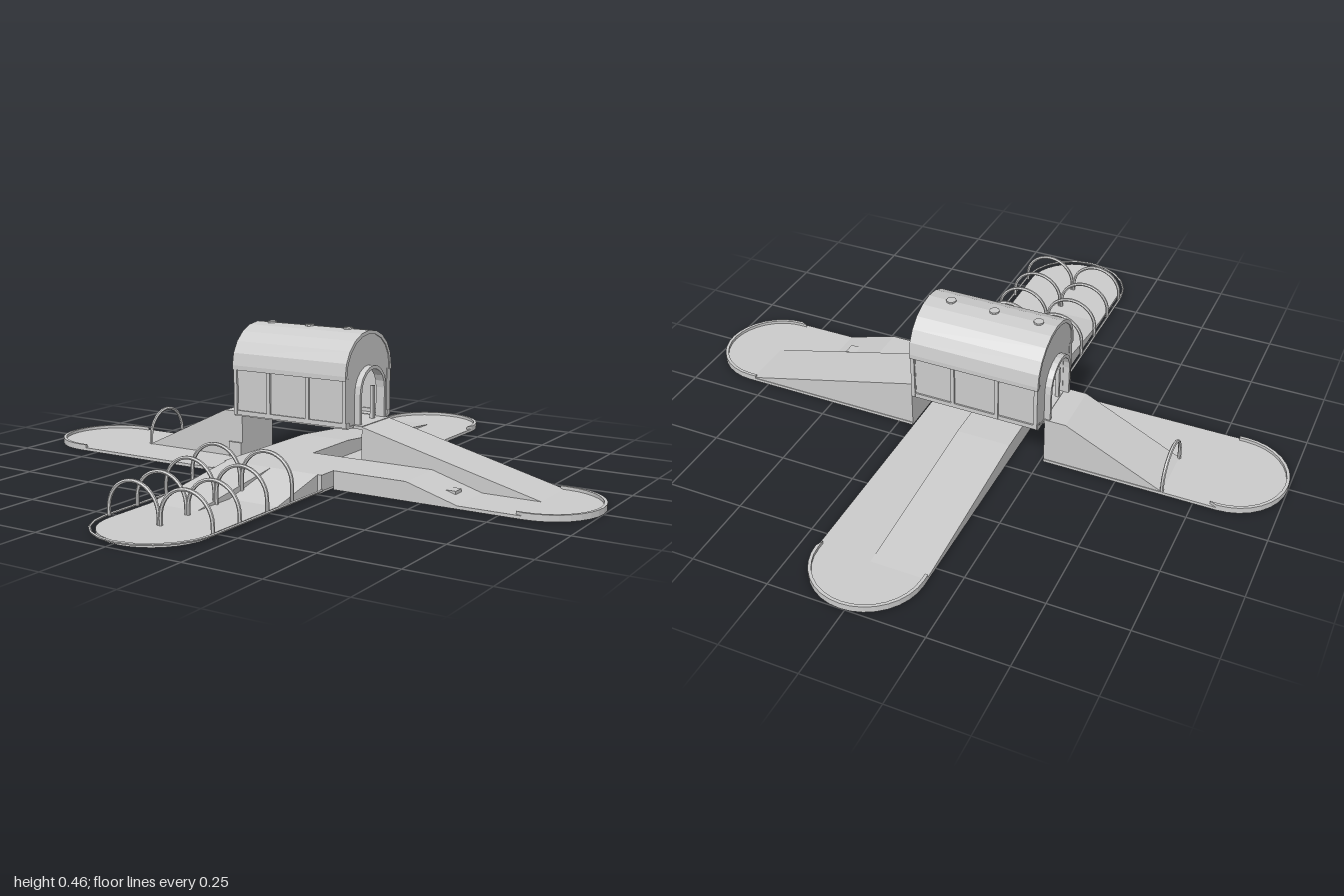
import * as THREE from 'three';

const mat = new THREE.MeshStandardMaterial({ color: 0xcccccc, flatShading: true, side: THREE.DoubleSide });

export function createModel() {
  const root = new THREE.Group();
  const add = (geo, name, x = 0, y = 0, z = 0) => {
    const m = new THREE.Mesh(geo, mat);
    m.name = name;
    m.position.set(x, y, z);
    root.add(m);
    return m;
  };
  const box = (name, x0, x1, y0, y1, z0, z1) =>
    add(new THREE.BoxGeometry(x1 - x0, y1 - y0, z1 - z0), name, (x0 + x1) / 2, (y0 + y1) / 2, (z0 + z1) / 2);
  const extrude = (shape, depth) =>
    new THREE.ExtrudeGeometry(shape, { depth, bevelEnabled: false, curveSegments: 8 });
  const poly = pts => new THREE.Shape(pts.map(p => new THREE.Vector2(...p)));
  // Side profile running along x, spanning z0..z1
  const alongX = (name, pts, z0, z1) => add(extrude(poly(pts), z1 - z0), name, 0, 0, z0);
  // Side profile given as (z, y), spanning x0..x1
  const alongZ = (name, pts, x0, x1) =>
    add(extrude(poly(pts.map(([z, y]) => [-z, y])), x1 - x0).rotateY(Math.PI / 2), name, x0, 0, 0);

  // Round-ended lane arm: (u outward, v across), turned into place about y
  const arm = (name, angle, inner, outer, vc, r) => {
    const s = new THREE.Shape();
    s.moveTo(inner, vc - r);
    s.lineTo(outer - r, vc - r);
    s.absarc(outer - r, vc, r, -Math.PI / 2, Math.PI / 2, false);
    s.lineTo(inner, vc + r);
    const plate = extrude(s, 0.01).rotateX(-Math.PI / 2);
    add(plate, name + 'Plate').rotation.y = angle;
    return [outer - r, vc, r, angle];
  };
  // Low rim around a round lane end
  const rim = (name, [cu, vc, r, angle], start) => {
    const s = new THREE.Shape(), ri = r - 0.01;
    s.moveTo(start, vc - r);
    s.absarc(cu, vc, r, -Math.PI / 2, Math.PI / 2, false);
    s.lineTo(start, vc + r);
    s.lineTo(start, vc + ri);
    s.absarc(cu, vc, ri, Math.PI / 2, -Math.PI / 2, true);
    s.lineTo(start, vc - ri);
    add(extrude(s, 0.02).rotateX(-Math.PI / 2), name + 'Rim').rotation.y = angle;
  };
  // Lane arms: v is -z for the x arms, x for the front arm, -x for... the turned back arm
  rim('leftArm', arm('leftArm', 0, 0.2, 1, 0.005, 0.177), 0.8);
  rim('rightArm', arm('rightArm', Math.PI, 0.26, 1, -0.005, 0.177), 0.8);
  rim('backArm', arm('backArm', Math.PI / 2, -0.24, 1, -0.016, 0.176), 0.8);
  arm('frontArm', -Math.PI / 2, 0.24, 0.97, 0.016, 0.17);
  box('lowerLaneLink', -0.26, -0.16, 0, 0.01, 0, 0.165);

  // Thin rail set off around the front arm
  const rail = [[-0.17, 0.24]];
  for (let i = 0; i <= 10; i++) {
    const a = Math.PI * (1 - i / 10);
    rail.push([0.016 + 0.186 * Math.cos(a), 0.8 + 0.186 * Math.sin(a)]);
  }
  rail.push([0.202, 0.24]);
  const railPath = new THREE.CurvePath();
  for (let i = 1; i < rail.length; i++)
    railPath.add(new THREE.LineCurve3(
      new THREE.Vector3(rail[i - 1][0], 0.013, rail[i - 1][1]),
      new THREE.Vector3(rail[i][0], 0.013, rail[i][1])));
  add(new THREE.TubeGeometry(railPath, 90, 0.004, 5), 'frontRail');

  // High bridge ramps either side of the hut
  alongX('steepRamp', [[-0.65, 0.01], [-0.26, 0.01], [-0.26, 0.165], [-0.33, 0.165]], -0.18, 0);
  alongX('longRamp', [[0.2, 0.01], [0.81, 0.01], [0.2, 0.165]], -0.18, 0);
  box('bridgeDeck', -0.26, 0.2, 0.157, 0.167, -0.18, 0);
  box('bridgeFoot', -0.31, -0.26, 0, 0.06, 0, 0.008);

  // Low crossing deck and its ramps
  box('crossingDeck', -0.16, 0.2, 0.01, 0.06, 0, 0.24);
  alongX('sideRamp', [[0.2, 0.01], [0.62, 0.01], [0.45, 0.06], [0.2, 0.06]], 0, 0.172);
  box('rampSlotEdge', 0.45, 0.58, 0.02, 0.032, 0.06, 0.1);
  alongZ('backRamp', [[-0.81, 0.01], [0, 0.01], [0, 0.06], [-0.22, 0.06]], -0.16, 0.02);
  alongZ('frontRampLong', [[0.24, 0.01], [0.62, 0.01], [0.24, 0.06]], -0.154, 0.016);
  alongZ('frontRampShort', [[0.24, 0.01], [0.46, 0.01], [0.24, 0.06]], 0.016, 0.186);

  // Hoops
  const hoop = (x, z, top, r, turn) => {
    const pts = [new THREE.Vector3(-r, 0.01, 0)];
    for (let i = 0; i <= 12; i++) {
      const a = Math.PI * (1 - i / 12);
      pts.push(new THREE.Vector3(r * Math.cos(a), top - 0.006 - r + r * Math.sin(a), 0));
    }
    pts.push(new THREE.Vector3(r, 0.01, 0));
    const tube = new THREE.TubeGeometry(new THREE.CatmullRomCurve3(pts), 28, 0.006, 6);
    add(tube, 'hoop', x, 0, z).rotation.y = turn;
  };
  for (const [z, top] of [[0.4, 0.16], [0.53, 0.143], [0.665, 0.13], [0.79, 0.13]])
    for (const x of [-0.077, 0.108]) hoop(x, z, top, 0.089, 0);
  hoop(-0.65, -0.09, 0.127, 0.088, Math.PI / 2);

  // Hut: arched end panels with doorways, profile centred on zc
  const zc = -0.095, x0 = -0.26, x1 = 0.17;
  const arch = (w, base, spring, h, n = 10) => {
    const pts = [[w, base]];
    for (let i = 0; i <= n; i++) {
      const a = Math.PI * i / n;
      pts.push([w * Math.cos(a), spring + h * Math.sin(a)]);
    }
    pts.push([-w, base]);
    return pts;
  };
  const archBand = (outer, inner) => poly([...outer, ...inner.reverse()]);
  const place = (shape, depth, name, x) =>
    add(extrude(shape, depth).rotateY(Math.PI / 2), name, x, 0, zc);
  for (const [x, trimX] of [[x0 + 0.003, x0 - 0.018], [x1 - 0.015, x1 - 0.003]]) {
    place(archBand(arch(0.138, 0.168, 0.33, 0.122), arch(0.073, 0.168, 0.265, 0.073)), 0.012, 'hutEndPanel', x);
    place(archBand(arch(0.084, 0.168, 0.265, 0.083), arch(0.072, 0.168, 0.265, 0.072)), 0.02, 'doorTrim', trimX);
    for (const dz of [-0.04, 0.045])
      box('doorPost', x, x + 0.012, 0.167, 0.275, zc + dz - 0.006, zc + dz + 0.006);
  }

  // Hut roof shell, side walls and wall posts
  place(archBand(arch(0.148, 0.315, 0.33, 0.13), arch(0.136, 0.315, 0.33, 0.118)), x1 - x0, 'hutRoof', x0);
  for (const s of [-1, 1]) {
    const zw = zc + s * 0.132;
    box('hutSideWall', x0 + 0.003, x1 - 0.003, 0.165, 0.33, zw - 0.005, zw + 0.005);
    box('hutSill', x0, x1, 0.165, 0.18, zw - 0.01, zw + 0.01);
    for (const x of [-0.252, -0.122, 0.026, 0.163])
      box('wallPost', x - 0.006, x + 0.006, 0.168, 0.32, zw - 0.012, zw + 0.012);
    // Floor strips beside the lane
    const a = zc + s * 0.088, b = zc + s * 0.135;
    box('hutFloorEdge', x0, x1, 0.16, 0.168, Math.min(a, b), Math.max(a, b));
  }
  for (const x of [-0.2, -0.053, 0.093])
    add(new THREE.CylinderGeometry(0.016, 0.016, 0.01, 10), 'roofVent', x, 0.459, zc);

  return root;
}
